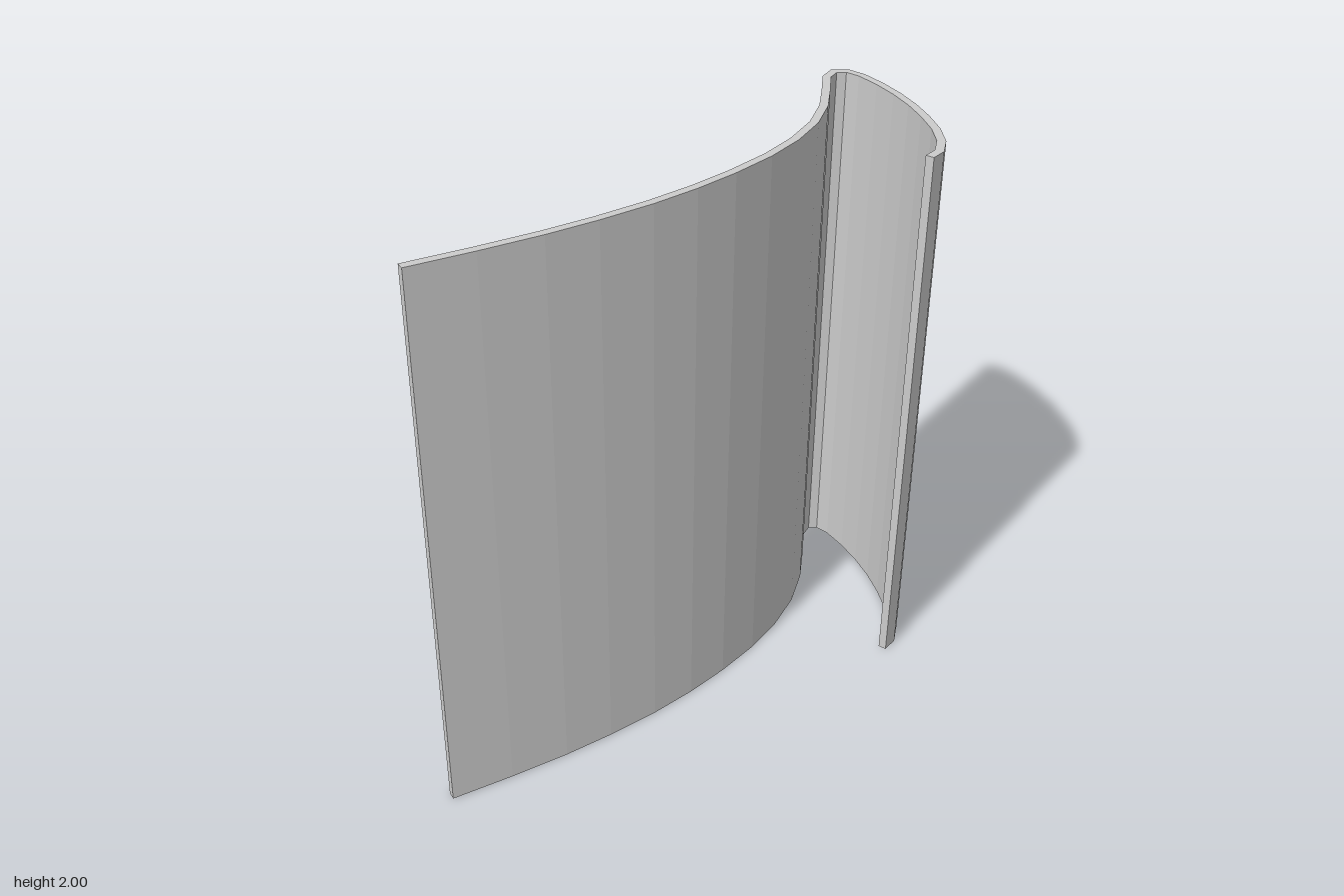
import * as THREE from 'three';

const HEIGHT = 2;
const HALF_THICKNESS = 0.015;

// Centre line of the sheet seen from above, as [x, z]
const centreLine = [
  [-1, 0.38], [-0.78, 0.375], [-0.57, 0.364], [-0.39, 0.345], [-0.2, 0.315],
  [-0.03, 0.275], [0.13, 0.225], [0.295, 0.16], [0.44, 0.083], [0.575, -0.015],
  [0.685, -0.13], [0.77, -0.25], [0.85, -0.37], [0.902, -0.406], [0.947, -0.385],
  [0.968, -0.325], [0.975, -0.22], [0.971, -0.11], [0.957, 0], [0.932, 0.11],
  [0.897, 0.22], [0.85, 0.315], [0.795, 0.38], [0.74, 0.405],
].map(([x, z]) => new THREE.Vector2(x, -z));

// Offset a polyline sideways with mitred corners
function offsetLine(points, distance) {
  return points.map((p, i) => {
    const next = points[Math.min(i + 1, points.length - 1)];
    const prev = points[Math.max(i - 1, 0)];
    const after = next.clone().sub(p).normalize();
    const before = p.clone().sub(prev).normalize();
    const along = before.clone().add(after).normalize();
    const cosHalf = along.dot(i === 0 ? after : before);
    return new THREE.Vector2(-along.y, along.x).multiplyScalar(distance / cosHalf).add(p);
  });
}

export function createModel() {
  const group = new THREE.Group();
  group.name = 'curvedPanel';

  // Thin sheet: both sides of the centre line joined into one closed outline
  const outline = [
    ...offsetLine(centreLine, -HALF_THICKNESS),
    ...offsetLine(centreLine, HALF_THICKNESS).reverse(),
  ];
  const geometry = new THREE.ExtrudeGeometry(new THREE.Shape(outline), {
    depth: HEIGHT,
    bevelEnabled: false,
  });
  geometry.rotateX(-Math.PI / 2);

  const sheet = new THREE.Mesh(
    geometry,
    new THREE.MeshStandardMaterial({ color: 0xcccccc, flatShading: true }),
  );
  sheet.name = 'foldedSheet';
  group.add(sheet);
  return group;
}
